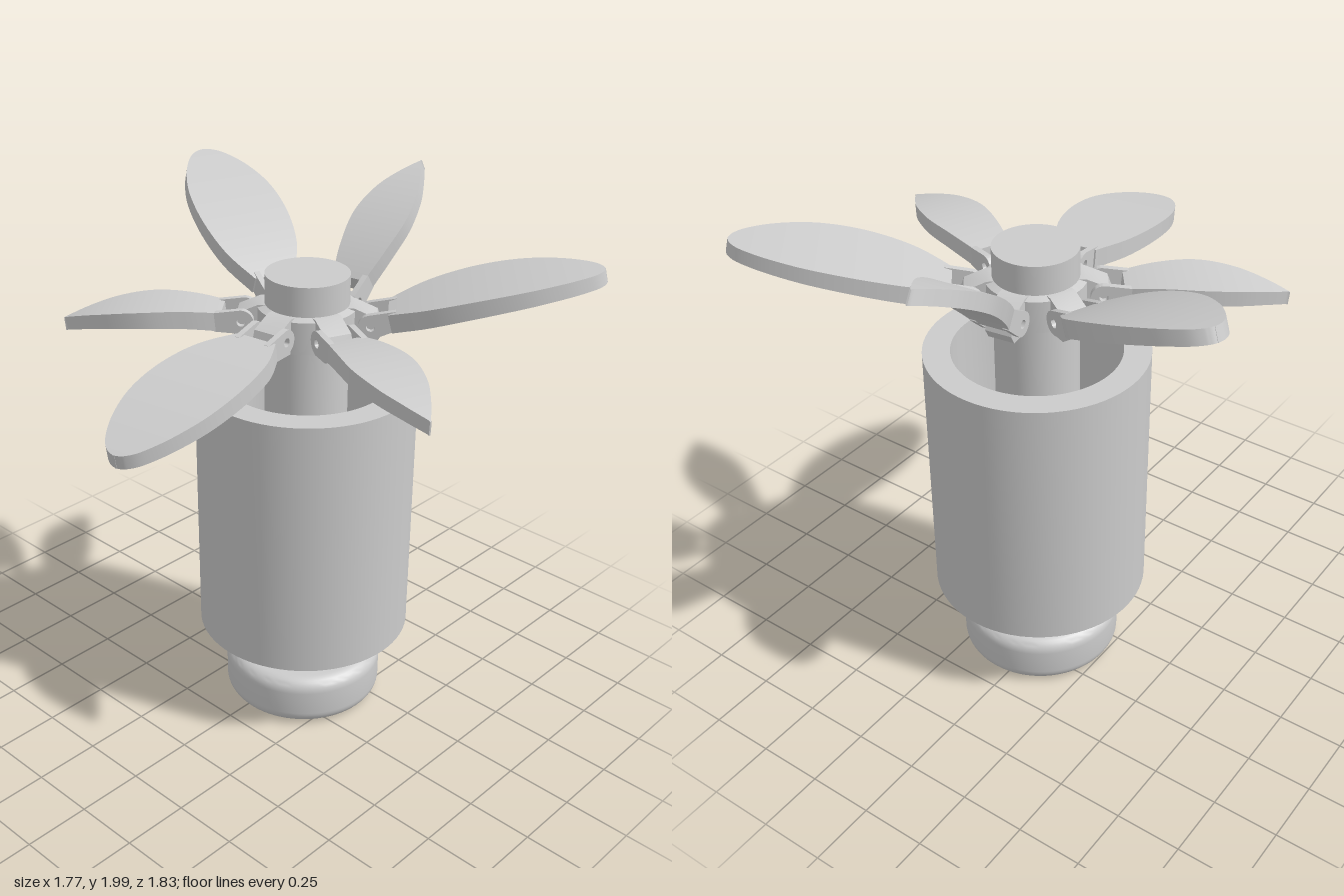
import * as THREE from 'three';
import { toCreasedNormals } from 'three/addons/utils/BufferGeometryUtils.js';

const material = new THREE.MeshStandardMaterial({ color: 0xcccccc });
const HINGE_R = 0.23, HINGE_Y = 1.605;

function mesh(name, geometry, crease = 0.6) {
  const m = new THREE.Mesh(toCreasedNormals(geometry, crease), material);
  m.name = name;
  return m;
}

function lathe(name, pairs, crease) {
  const points = pairs.map(([r, y]) => new THREE.Vector2(r, y));
  return mesh(name, new THREE.LatheGeometry(points, 72), crease);
}

// Extrudes a side profile (radial, y) across the width x, centred on x = 0
function sideExtrude(shape, width) {
  const g = new THREE.ExtrudeGeometry(shape, { depth: width, bevelEnabled: false, curveSegments: 12 });
  g.translate(0, 0, -width / 2);
  g.rotateY(-Math.PI / 2);
  return g;
}

// Arched blade swept from rectangular cross-sections; outline gives [u, half width]
function bladeGeometry(start, end, outline, arch) {
  const curve = new THREE.SplineCurve(outline.map(([u, w]) => new THREE.Vector2(u, w)));
  const steps = 42, pos = [], index = [];
  for (let i = 0; i <= steps; i++) {
    const p = curve.getPoint(i / steps);
    const z = start + (end - start) * p.x;
    const y = arch * 4 * p.x * (1 - p.x);
    const t = 0.035 - 0.01 * p.x;
    const w = Math.max(p.y, 0.003);
    pos.push(-w, y - t, z, w, y - t, z, w, y + t, z, -w, y + t, z);
  }
  for (let i = 0; i < steps; i++) {
    for (let j = 0; j < 4; j++) {
      const a = i * 4 + j, b = i * 4 + (j + 1) % 4;
      index.push(a, b, b + 4, a, b + 4, a + 4);
    }
  }
  const e = steps * 4;
  index.push(0, 3, 2, 0, 2, 1, e, e + 1, e + 2, e, e + 2, e + 3);
  const g = new THREE.BufferGeometry();
  g.setAttribute('position', new THREE.Float32BufferAttribute(pos, 3));
  g.setIndex(index);
  return g;
}

// Hinge arm: rounded eye with a pin hole, running out to the blade root
function armGeometry() {
  const s = new THREE.Shape();
  s.moveTo(0.1, 0.04);
  s.lineTo(0, 0.045);
  s.absarc(0, 0, 0.045, Math.PI / 2, Math.PI * 1.5, false);
  s.lineTo(0.1, -0.03);
  s.closePath();
  s.holes.push(new THREE.Path().absarc(0, 0, 0.016, 0, Math.PI * 2, true));
  return sideExtrude(s, 0.022);
}

// Fixed hub block with a sloping top, held between the arms
function blockGeometry() {
  const s = new THREE.Shape();
  [[0.13, 1.535], [0.25, 1.535], [0.27, 1.57], [0.25, 1.63], [0.17, 1.665], [0.13, 1.665]]
    .forEach(([r, y], i) => (i ? s.lineTo(r, y) : s.moveTo(r, y)));
  s.closePath();
  return sideExtrude(s, 0.1);
}

export function createModel() {
  const model = new THREE.Group();
  model.name = 'bladedPlunger';
  const body = new THREE.Group();
  body.name = 'body';
  body.position.set(0.04, 0, -0.13);
  model.add(body);

  // Rounded foot knob
  const knob = [[0, 0]];
  for (const [cy, from] of [[0.055, -Math.PI / 2], [0.15, 0]]) {
    for (let i = 0; i <= 8; i++) {
      const a = from + (i / 8) * Math.PI / 2;
      knob.push([0.252 + 0.055 * Math.cos(a), cy + 0.055 * Math.sin(a)]);
    }
  }
  knob.push([0, 0.205]);
  body.add(lathe('footKnob', knob, 0.7));

  // Central shaft
  body.add(lathe('shaft', [[0, 0.18], [0.153, 0.18], [0.153, 1.775], [0, 1.775]]));

  // Open-topped sleeve
  body.add(lathe('sleeve', [[0.14, 0.34], [0.41, 0.34], [0.41, 1.365], [0.31, 1.365], [0.31, 0.44], [0.14, 0.44]]));

  // Hub collar carrying the hinges
  body.add(lathe('hubCollar', [[0.14, 1.535], [0.18, 1.535], [0.18, 1.655], [0.14, 1.67]]));

  // Two blade types, alternating around the hub
  const wide = bladeGeometry(0.07, 0.83,
    [[0, 0.08], [0.18, 0.145], [0.4, 0.174], [0.62, 0.168], [0.8, 0.13], [0.93, 0.078], [0.985, 0.035], [1, 0]], 0.03);
  const narrow = bladeGeometry(0.07, 0.66,
    [[0, 0.068], [0.2, 0.095], [0.45, 0.112], [0.68, 0.09], [0.86, 0.046], [1, 0]], 0.04);
  const arm = armGeometry(), block = blockGeometry();

  // Upward tilt of each blade in degrees, front blade first
  [-9, -3, 14, 34, 23.5, -5.5].forEach((tilt, i) => {
    const station = new THREE.Group();
    station.name = 'bladeStation' + (i + 1);
    station.rotation.y = THREE.MathUtils.degToRad(8 + i * 60);
    station.add(mesh('hubBlock', block));

    const blade = new THREE.Group();
    blade.name = 'hingedBlade';
    blade.position.set(0, HINGE_Y, HINGE_R);
    blade.rotation.x = -THREE.MathUtils.degToRad(tilt);
    blade.add(mesh(i % 2 ? 'narrowBlade' : 'wideBlade', i % 2 ? narrow : wide));
    for (const side of [-1, 1]) {
      const a = mesh('hingeArm', arm);
      a.position.x = side * 0.063;
      blade.add(a);
    }
    station.add(blade);
    body.add(station);
  });

  return model;
}
